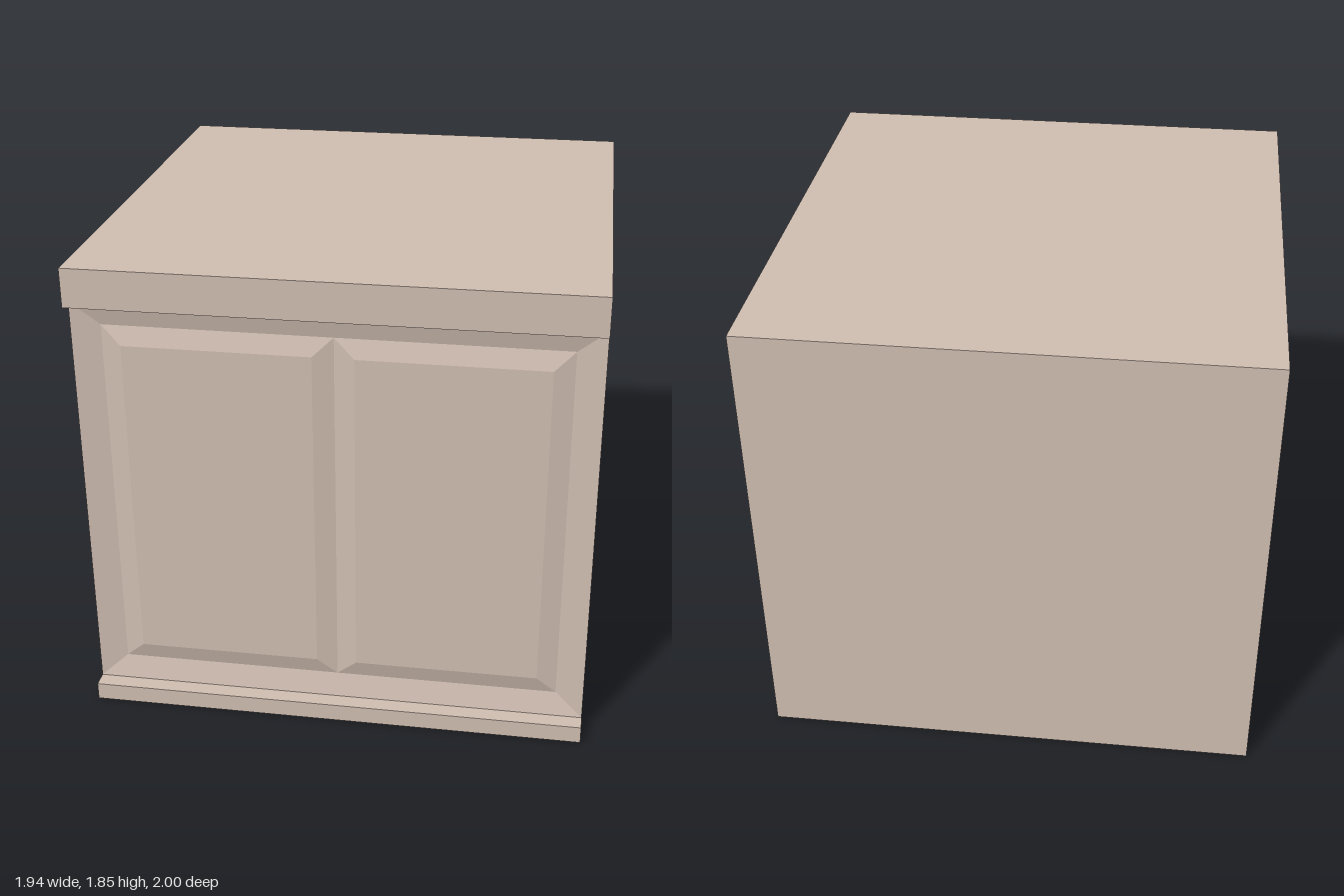
import * as THREE from 'three';

const W = 0.97;                       // half width
const Y0 = 0.07, Y1 = 1.7, H = 1.85;  // recess bottom, recess top, full height
const FACE = 0.935, DEEP = 0.91;      // door face and groove depth

// Flat-shaded surface from quads, corners counter-clockwise from the front
function quadSurface(quads) {
  const pos = [];
  for (const [a, b, c, d] of quads) for (const p of [a, b, c, a, c, d]) pos.push(...p);
  const g = new THREE.BufferGeometry();
  g.setAttribute('position', new THREE.Float32BufferAttribute(pos, 3));
  g.computeVertexNormals();
  return g;
}

// Corners of a rectangle facing +z
const rect = (x0, x1, y0, y1, z) => [[x0, y0, z], [x1, y0, z], [x1, y1, z], [x0, y1, z]];

// Four sloped quads joining an outer rectangle to an inner one
const bevel = (o, i) => o.map((p, k) => [p, o[(k + 1) % 4], i[(k + 1) % 4], i[k]]);

export function createModel() {
  const group = new THREE.Group();
  const wood = new THREE.MeshStandardMaterial({ color: 0xcdbbaf });
  wood.name = 'pale wood';

  const add = (name, geometry) => {
    const m = new THREE.Mesh(geometry, wood);
    m.name = name;
    group.add(m);
    return m;
  };

  // Countertop and plinth, both overhanging the door
  add('countertop', new THREE.BoxGeometry(2 * W, H - Y1, 2)).position.y = (H + Y1) / 2;
  add('plinth', new THREE.BoxGeometry(2 * W, Y0, 2)).position.y = Y0 / 2;

  // Carcass: side and back walls only, its front is closed by the doors
  const carcass = new THREE.BoxGeometry(2 * W, Y1 - Y0, FACE + 1);
  const idx = Array.from(carcass.index.array);
  carcass.setIndex([...idx.slice(0, 12), ...idx.slice(30, 36)]);
  carcass.clearGroups();
  add('carcass', carcass).position.set(0, (Y0 + Y1) / 2, (FACE - 1) / 2);

  // Frame sloping in to the groove
  add('doorFrame', quadSurface(bevel(
    rect(-W, W, Y0, Y1, FACE),
    rect(-0.863, 0.863, 0.163, 1.607, DEEP))));

  // Two raised panels meeting in a central groove
  for (const [name, x0, x1, i0, i1] of [
    ['rightPanel', -0.863, 0, -0.787, -0.078],
    ['leftPanel', 0, 0.863, 0.078, 0.787],
  ]) {
    const inner = rect(i0, i1, 0.235, 1.535, 0.933);
    add(name, quadSurface([...bevel(rect(x0, x1, 0.163, 1.607, DEEP), inner), inner]));
  }
  return group;
}
